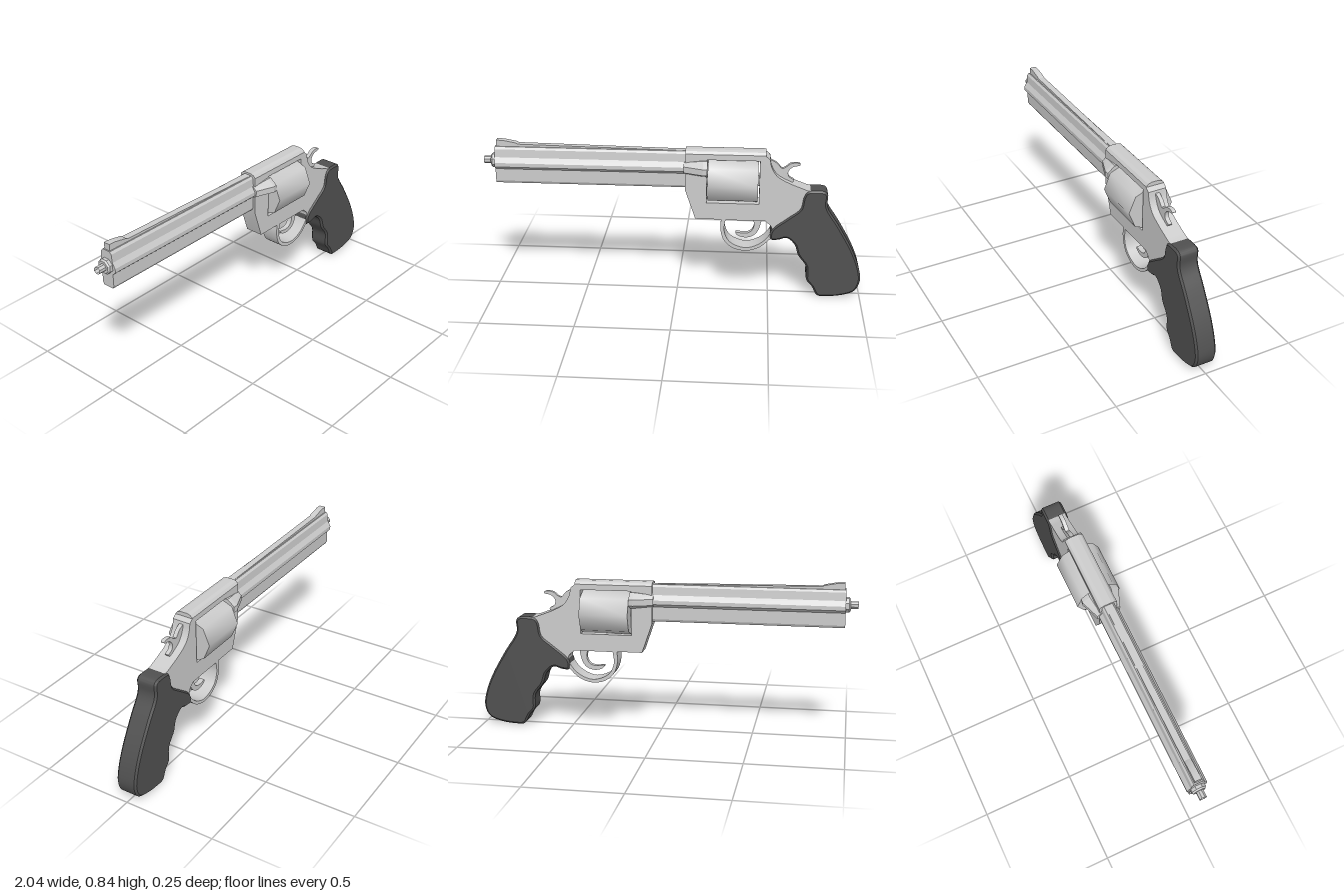
import * as THREE from 'three';
import { toCreasedNormals } from 'three/addons/utils/BufferGeometryUtils.js';
import { ConvexGeometry } from 'three/addons/geometries/ConvexGeometry.js';

const steel = new THREE.MeshStandardMaterial({ color: 0xcccccc });
const rubber = new THREE.MeshStandardMaterial({ color: 0x505050 });
const vectors = (points) => points.map(([x, y]) => new THREE.Vector2(x, y));

// Smooth closed curve or open run through a few points
function smooth(points, closed = false, samples = 40) {
  const curve = new THREE.CatmullRomCurve3(
    points.map(([x, y]) => new THREE.Vector3(x, y, 0)), closed, 'centripetal');
  return curve.getPoints(samples).map((p) => [p.x, p.y]);
}

// Side outline extruded evenly about z = 0
function slab(outline, halfWidth, holes = [], bevel = 0) {
  const shape = new THREE.Shape(vectors(outline));
  holes.forEach((h) => shape.holes.push(new THREE.Path(vectors(h))));
  const depth = 2 * (halfWidth - bevel);
  const geo = new THREE.ExtrudeGeometry(shape, {
    depth, bevelEnabled: bevel > 0, bevelThickness: bevel,
    bevelSize: bevel, bevelOffset: -bevel, bevelSegments: 1,
  });
  geo.translate(0, 0, -depth / 2);
  return toCreasedNormals(geo, 0.5);
}

// Half section [z, y], mirrored and extruded along x
function bar(half, x0, x1) {
  const mirrored = half.map(([z, y]) => [-z, y]).reverse();
  const geo = new THREE.ExtrudeGeometry(new THREE.Shape(vectors([...half, ...mirrored])),
    { depth: x1 - x0, bevelEnabled: false });
  return geo.rotateY(Math.PI / 2).translate(x0, 0, 0);
}

export function createModel() {
  const model = new THREE.Group();
  const add = (name, geo, material = steel) => {
    const mesh = new THREE.Mesh(geo, material);
    mesh.name = name;
    model.add(mesh);
  };

  // Barrel: lower lug, wide middle and narrow top rib
  add('barrel', bar([
    [0.03, 0.612], [0.037, 0.625], [0.037, 0.692], [0.055, 0.708], [0.055, 0.73],
    [0.038, 0.757], [0.034, 0.8], [0.024, 0.812],
  ], -0.975, 0.06));
  add('topRib', slab([[-0.968, 0.8], [0.05, 0.8], [0.05, 0.813], [-0.968, 0.828]], 0.018));
  add('frontSight', slab([
    [-0.968, 0.81], [-0.83, 0.81], [-0.86, 0.832], [-0.93, 0.845], [-0.968, 0.846],
  ], 0.018));

  // Octagonal muzzle ring with a bore
  const bore = [[0.02, -0.04], [0.02, 0], [0.033, 0], [0.041, 0.008], [0.041, 0.04]];
  const muzzle = new THREE.LatheGeometry(vectors(bore.map(([r, y]) => [r, -y])).reverse(), 8, Math.PI / 8);
  muzzle.rotateZ(Math.PI / 2).translate(-1, 0.73, 0);
  const muzzleMaterial = steel.clone();
  muzzleMaterial.side = THREE.DoubleSide;
  add('muzzle', toCreasedNormals(muzzle, 0.5), muzzleMaterial);
  add('boreEnd', new THREE.CylinderGeometry(0.021, 0.021, 0.004, 16)
    .rotateZ(Math.PI / 2).translate(-0.976, 0.73, 0));

  // Frame and trigger guard in one piece, with cylinder window and guard opening
  const back = smooth([[0.49, 0.785], [0.5, 0.74], [0.53, 0.693], [0.585, 0.66], [0.69, 0.618]], false, 16);
  const guardOuter = smooth([
    [0.505, 0.335], [0.45, 0.285], [0.38, 0.262], [0.31, 0.273], [0.258, 0.315],
    [0.236, 0.38], [0.238, 0.44],
  ], false, 24);
  const guardInner = smooth([
    [0.262, 0.438], [0.256, 0.375], [0.285, 0.313], [0.37, 0.279], [0.445, 0.303],
    [0.497, 0.355], [0.51, 0.4], [0.475, 0.438],
  ], false, 28);
  add('frame', slab([
    [0.045, 0.6], [0.045, 0.805], [0.465, 0.805], ...back,
    [0.75, 0.61], [0.75, 0.5], [0.68, 0.4], [0.56, 0.36], ...guardOuter, [0.1, 0.44],
  ], 0.05, [
    [[0.158, 0.533], [0.438, 0.533], [0.438, 0.775], [0.158, 0.775]],
    guardInner,
  ]));
  add('topStrap', bar([[0.05, 0.785], [0.05, 0.805], [0.038, 0.818], [0.02, 0.824]], 0.045, 0.468));

  // Eight-sided cylinder with its axle
  const drum = new THREE.CylinderGeometry(0.123, 0.123, 0.265, 8);
  drum.rotateZ(Math.PI / 2).rotateX(Math.PI / 2).translate(0.298, 0.65, 0);
  add('cylinder', toCreasedNormals(drum, 0.9));
  add('cylinderAxle', new THREE.CylinderGeometry(0.03, 0.03, 0.3, 12)
    .rotateZ(Math.PI / 2).translate(0.298, 0.65, 0));

  // Flared shoulders ahead of the cylinder
  const flare = [];
  for (const s of [-1, 1]) {
    for (const [x, y, z] of [
      [0.037, 0.695, 0.045], [0.037, 0.705, 0.065], [0.037, 0.738, 0.065], [0.037, 0.757, 0.045],
      [0.14, 0.685, 0.06], [0.14, 0.705, 0.103], [0.14, 0.738, 0.103], [0.14, 0.77, 0.06],
      [0.163, 0.685, 0.06], [0.163, 0.705, 0.1], [0.163, 0.738, 0.1], [0.163, 0.77, 0.06],
    ]) flare.push(new THREE.Vector3(x, y, s * z));
  }
  add('cylinderShoulders', new ConvexGeometry(flare));

  // Hammer with curled spur
  add('hammer', slab(smooth([
    [0.485, 0.77], [0.525, 0.755], [0.555, 0.725], [0.575, 0.733], [0.6, 0.752], [0.645, 0.754],
    [0.65, 0.744], [0.61, 0.733], [0.588, 0.708], [0.592, 0.68], [0.62, 0.66],
    [0.59, 0.64], [0.5, 0.68],
  ], true, 60), 0.011));

  // Curved trigger
  add('trigger', slab(smooth([
    [0.412, 0.46], [0.415, 0.39], [0.395, 0.357], [0.36, 0.348], [0.318, 0.352],
    [0.325, 0.337], [0.37, 0.324], [0.415, 0.338], [0.442, 0.375], [0.452, 0.46],
  ], true, 40), 0.014));

  // Grip with finger swells and a small edge bevel
  add('grip', slab(smooth([
    [0.69, 0.61], [0.735, 0.617], [0.785, 0.613], [0.8, 0.595], [0.8, 0.53], [0.865, 0.425],
    [0.945, 0.285], [0.985, 0.185], [0.998, 0.105], [0.972, 0.042], [0.905, 0.014],
    [0.825, 0.004], [0.77, 0.008], [0.74, 0.06], [0.708, 0.1], [0.703, 0.18],
    [0.657, 0.245], [0.637, 0.305], [0.592, 0.343], [0.55, 0.332], [0.507, 0.332],
    [0.507, 0.385], [0.595, 0.462], [0.658, 0.515], [0.672, 0.58],
  ], true, 90), 0.058, [], 0.01), rubber);

  return model;
}
